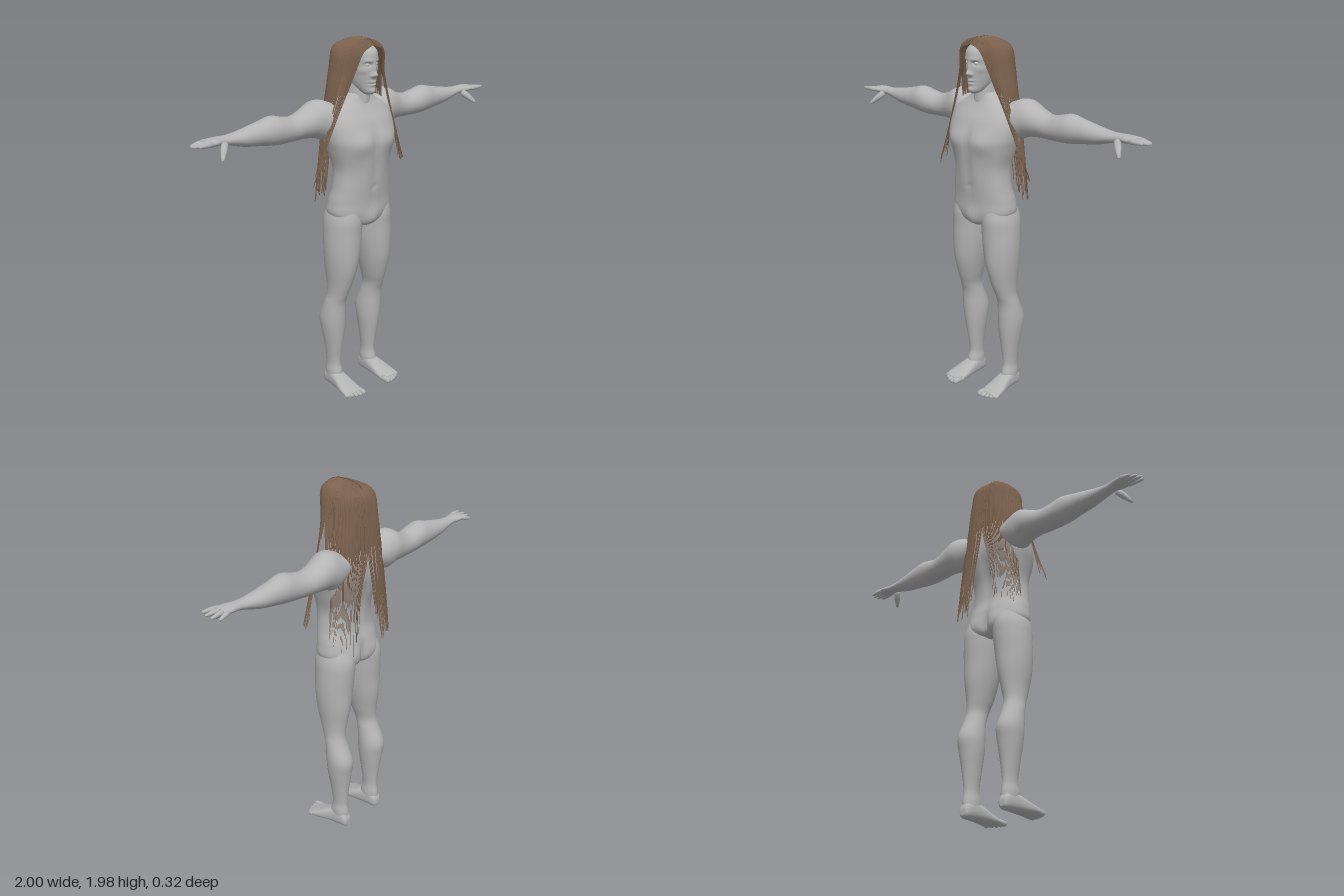
import * as THREE from 'three';

const skin = new THREE.MeshStandardMaterial({ color: 0xb4b4b4 });
skin.name = 'grey skin';
const eyeMat = new THREE.MeshStandardMaterial({ color: 0xc8c8c8 });
eyeMat.name = 'pale eye';
const hairMat = new THREE.MeshStandardMaterial({ color: 0x7d634f, side: THREE.DoubleSide });
hairMat.name = 'brown hair';

let seed = 7;
const rand = () => (seed = (seed * 16807) % 2147483647) / 2147483647;

const spline = (a, b, c, d, f) =>
  0.5 * (2 * b + (c - a) * f + (2 * a - 5 * b + 4 * c - d) * f * f + (3 * b - a - 3 * c + d) * f * f * f);

// Closed skin through cross-sections [t, uMin, uMax, vMin, vMax]; place maps (t, u, v) to x, y, z
function loft(rows, place, { n = 40, sub = 6, p = 2 } = {}) {
  const pos = [], idx = [], rings = (rows.length - 1) * sub + 1;
  const row = i => rows[Math.max(0, Math.min(rows.length - 1, i))];
  const bend = v => Math.sign(v) * Math.abs(v) ** (2 / p);
  for (let r = 0; r < rings; r++) {
    const i = Math.min(Math.floor(r / sub), rows.length - 2), f = r / sub - i;
    const [t, u0, u1, v0, v1] = row(i).map((_, k) => spline(row(i - 1)[k], row(i)[k], row(i + 1)[k], row(i + 2)[k], f));
    for (let j = 0; j < n; j++) {
      const a = (j / n) * Math.PI * 2;
      pos.push(...place(t, (u0 + u1) / 2 + bend(Math.cos(a)) * (u1 - u0) / 2, (v0 + v1) / 2 + bend(Math.sin(a)) * (v1 - v0) / 2));
      const b = r * n + j, c = r * n + (j + 1) % n;
      if (r < rings - 1) idx.push(b, b + n, c, c, b + n, c + n);
    }
  }
  // End caps
  [[0, rows[0]], [rings - 1, rows[rows.length - 1]]].forEach(([r, [t, u0, u1, v0, v1]]) => {
    const m = pos.length / 3;
    pos.push(...place(t, (u0 + u1) / 2, (v0 + v1) / 2));
    for (let j = 0; j < n; j++) {
      const b = r * n + j, c = r * n + (j + 1) % n;
      idx.push(m, ...(r ? [c, b] : [b, c]));
    }
  });
  // Turn faces outward, whichever way the sections ran
  let volume = 0;
  const at = i => new THREE.Vector3().fromArray(pos, i * 3);
  for (let i = 0; i < idx.length; i += 3) volume += at(idx[i]).dot(at(idx[i + 1]).cross(at(idx[i + 2])));
  if (volume < 0) idx.reverse();
  const g = new THREE.BufferGeometry();
  g.setAttribute('position', new THREE.Float32BufferAttribute(pos, 3));
  g.setIndex(idx);
  g.computeVertexNormals();
  return g;
}

// Soft swellings and hollows [x, y, z, rx, ry, rz, amount], mirrored in x
function sculpt(g, bumps) {
  const P = g.attributes.position, N = g.attributes.normal;
  for (let i = 0; i < P.count; i++) {
    let d = 0;
    for (const [x, y, z, rx, ry, rz, amount] of bumps) {
      d += amount * Math.exp(-(((Math.abs(P.getX(i)) - x) / rx) ** 2 + ((P.getY(i) - y) / ry) ** 2 + ((P.getZ(i) - z) / rz) ** 2));
    }
    P.setXYZ(i, P.getX(i) + N.getX(i) * d, P.getY(i) + N.getY(i) * d, P.getZ(i) + N.getZ(i) * d);
  }
  g.computeVertexNormals();
  return g;
}

function add(parent, name, geometry, material = skin) {
  const m = new THREE.Mesh(geometry, material);
  m.name = name;
  parent.add(m);
  return m;
}

// Tapered rounded finger or toe between two points
function digit(parent, name, a, b, r0, r1) {
  const A = new THREE.Vector3(...a), B = new THREE.Vector3(...b), len = A.distanceTo(B);
  const profile = [[0, 0], [r0, 0.004], [r0, len * 0.4], [r1, len * 0.85], [r1 * 0.7, len * 0.96], [0, len]];
  const m = add(parent, name, new THREE.LatheGeometry(profile.map(q => new THREE.Vector2(...q)), 12));
  m.position.copy(A);
  m.quaternion.setFromUnitVectors(new THREE.Vector3(0, 1, 0), B.sub(A).normalize());
}

// A panel of hair: guide curves from the parting to the tips, filled with tapering locks
function hairPanel(parent, name, side, guides, count) {
  const curves = guides.map(g => new THREE.CatmullRomCurve3(g.map(q => new THREE.Vector3(...q))));
  const surf = (a, t, lift) => {
    const v = new THREE.CatmullRomCurve3(curves.map(c => c.getPoint(t))).getPoint(Math.max(0, Math.min(1, a)));
    const out = new THREE.Vector3(v.x, v.y - Math.min(v.y, 1.86), v.z).normalize();
    v.addScaledVector(out, lift);
    return [v.x * side, v.y, v.z];
  };
  const pos = [], idx = [];
  const strip = (a, half, end, lift, ridge, cols, steps, taper) => {
    const base = pos.length / 3;
    for (let s = 0; s <= steps; s++) {
      const f = s / steps, w = half * (taper ? 1 - 0.92 * Math.max(0, (f - 0.5) / 0.5) : 1);
      for (let c = 0; c <= cols; c++) {
        const e = (c / cols) * 2 - 1;
        pos.push(...surf(a + e * w, f * end, lift + ridge * (1 - e * e)));
        const q = base + s * (cols + 1) + c;
        if (s < steps && c < cols) {
          const quad = [q, q + cols + 1, q + 1, q + 1, q + cols + 1, q + cols + 2];
          idx.push(...(side > 0 ? quad : quad.reverse()));
        }
      }
    }
  };
  strip(0.5, 0.5, 0.56, -0.003, 0, 20, 20, false);
  for (let i = 0; i < count; i++) {
    strip((i + 0.5) / count, 0.62 / count, 0.86 + 0.14 * rand(), 0.005 * rand(), 0.004, 2, 26, true);
  }
  const g = new THREE.BufferGeometry();
  g.setAttribute('position', new THREE.Float32BufferAttribute(pos, 3));
  g.setIndex(idx);
  g.computeVertexNormals();
  add(parent, name, g, hairMat);
}

export function createModel() {
  const model = new THREE.Group();
  model.name = 'figure';
  const upright = s => (t, u, v) => [u * s, t, v];

  // Torso, with chest, back and hip muscles
  const torso = [
    [0.975, 0.04, -0.06, 0.08], [1.0, 0.12, -0.1, 0.11], [1.05, 0.188, -0.11, 0.12], [1.12, 0.188, -0.105, 0.122],
    [1.2, 0.172, -0.085, 0.13], [1.3, 0.164, -0.088, 0.138], [1.4, 0.19, -0.115, 0.15], [1.47, 0.208, -0.132, 0.148],
    [1.55, 0.208, -0.135, 0.12], [1.61, 0.18, -0.128, 0.085], [1.65, 0.115, -0.105, 0.065], [1.69, 0.06, -0.08, 0.055],
  ].map(([y, x, b, f]) => [y, -x, x, b, f]);
  add(model, 'torso', sculpt(loft(torso, upright(1), { n: 72, sub: 7, p: 2.35 }), [
    [0.09, 1.44, 0.14, 0.07, 0.05, 0.06, 0.014], [0, 1.45, 0.15, 0.014, 0.08, 0.05, -0.008],
    [0, 1.25, 0.13, 0.012, 0.1, 0.05, -0.004], [0.05, 1.28, 0.14, 0.03, 0.1, 0.05, 0.004],
    [0, 1.2, 0.13, 0.012, 0.012, 0.03, -0.007], [0, 1.03, 0.12, 0.035, 0.04, 0.05, 0.012],
    [0.085, 1.03, -0.11, 0.06, 0.06, 0.06, 0.018], [0, 1.04, -0.11, 0.016, 0.07, 0.05, -0.02],
    [0, 1.35, -0.11, 0.025, 0.2, 0.06, -0.012], [0.1, 1.53, -0.13, 0.05, 0.06, 0.04, 0.008],
  ]));

  // Neck
  add(model, 'neck', loft([[1.6, -0.08, 0.08, -0.1, 0.07], [1.66, -0.062, 0.062, -0.085, 0.07], [1.72, -0.055, 0.055, -0.075, 0.068],
    [1.78, -0.052, 0.052, -0.07, 0.06]], upright(1)));

  // Head, with brow, eye sockets, nose, lips and chin
  const head = [
    [1.69, 0.018, 0.06, 0.105], [1.705, 0.034, 0.02, 0.118], [1.74, 0.052, -0.05, 0.12], [1.78, 0.064, -0.09, 0.123],
    [1.83, 0.072, -0.105, 0.126], [1.88, 0.075, -0.107, 0.129], [1.915, 0.066, -0.095, 0.12], [1.94, 0.042, -0.06, 0.085], [1.948, 0.01, -0.01, 0.03],
  ].map(([y, x, b, f]) => [y, -x, x, b, f]);
  add(model, 'head', sculpt(loft(head, upright(1), { n: 120, sub: 11 }), [
    [0, 1.795, 0.125, 0.012, 0.014, 0.05, 0.021], [0, 1.825, 0.125, 0.009, 0.025, 0.05, 0.01],
    [0.014, 1.79, 0.125, 0.007, 0.008, 0.04, 0.007], [0.03, 1.846, 0.12, 0.016, 0.011, 0.04, -0.011],
    [0.03, 1.866, 0.12, 0.022, 0.008, 0.04, 0.004], [0, 1.757, 0.12, 0.02, 0.006, 0.04, 0.006],
    [0, 1.749, 0.12, 0.022, 0.003, 0.04, -0.005], [0, 1.741, 0.12, 0.017, 0.006, 0.04, 0.006],
    [0, 1.71, 0.12, 0.018, 0.013, 0.04, 0.006], [0.05, 1.815, 0.09, 0.018, 0.016, 0.04, 0.004],
  ]));

  for (const s of [1, -1]) {
    const side = s > 0 ? 'left' : 'right';

    // Eye
    const eye = add(model, side + 'Eye', new THREE.SphereGeometry(0.012, 16, 12), eyeMat);
    eye.position.set(s * 0.03, 1.846, 0.101);

    // Leg
    add(model, side + 'Leg', loft([
      [1.12, 0.03, 0.165, -0.085, 0.095], [1.03, 0.008, 0.198, -0.118, 0.112], [0.95, 0.01, 0.206, -0.118, 0.11],
      [0.85, 0.02, 0.208, -0.11, 0.107], [0.75, 0.038, 0.201, -0.105, 0.098], [0.65, 0.062, 0.189, -0.09, 0.072],
      [0.58, 0.08, 0.186, -0.085, 0.046], [0.52, 0.076, 0.195, -0.102, 0.026], [0.43, 0.068, 0.203, -0.138, 0.02],
      [0.35, 0.072, 0.195, -0.13, 0.014], [0.25, 0.086, 0.178, -0.115, 0], [0.15, 0.097, 0.165, -0.105, -0.012],
      [0.09, 0.092, 0.17, -0.112, 0], [0.03, 0.095, 0.165, -0.112, 0],
    ], upright(s)));

    // Foot and toes
    add(model, side + 'Foot', loft([
      [-0.12, 0.115, 0.15, 0.015, 0.05], [-0.105, 0.1, 0.163, 0.002, 0.08], [-0.06, 0.092, 0.17, 0, 0.1], [0, 0.087, 0.18, 0, 0.085],
      [0.06, 0.082, 0.195, 0, 0.058], [0.11, 0.08, 0.2, 0, 0.038], [0.135, 0.085, 0.19, 0.005, 0.028],
    ], (t, u, v) => [u * s, v, t], { p: 2.5 }));
    for (let i = 0; i < 5; i++) {
      const x = s * (0.097 + i * 0.0235), r = i ? 0.0115 : 0.016;
      digit(model, side + 'Toe', [x, 0.02, 0.1], [x, r, 0.166 - i * i * 0.0022], r, r * 0.95);
    }

    // Arm and palm
    add(model, side + 'Arm', loft([
      [0.1, 1.51, 1.63, -0.12, 0.05], [0.16, 1.47, 1.65, -0.135, 0.05], [0.21, 1.46, 1.668, -0.143, 0.04], [0.26, 1.477, 1.667, -0.145, 0.028],
      [0.33, 1.485, 1.63, -0.138, 0.014], [0.4, 1.486, 1.612, -0.128, 0.014], [0.47, 1.487, 1.625, -0.122, 0.02],
      [0.53, 1.49, 1.638, -0.118, 0.02], [0.6, 1.5, 1.623, -0.112, 0.01], [0.7, 1.515, 1.603, -0.1, 0],
      [0.78, 1.537, 1.592, -0.086, -0.01], [0.83, 1.547, 1.592, -0.082, -0.014], [0.88, 1.552, 1.592, -0.09, 0], [0.915, 1.558, 1.588, -0.09, 0.002],
      [0.925, 1.563, 1.583, -0.085, -0.004],
    ], (t, u, v) => [t * s, u, v]));

    // Fingers and thumb
    [[0.972, -0.08, -0.094], [0.992, -0.056, -0.062], [1.0, -0.031, -0.03], [0.99, -0.007, 0.002]].forEach(([tip, z0, z1], i) =>
      digit(model, side + 'Finger', [s * 0.9, 1.573, z0], [s * tip, 1.557 + 0.006 * i, z1], 0.0125, 0.0085));
    digit(model, side + 'Thumb', [s * 0.832, 1.562, -0.015], [s * 0.89, 1.497, 0.046], 0.018, 0.01);

    // Hair parted in the middle: a front panel over the shoulder and a back panel
    hairPanel(model, side + 'FrontHair', s, [
      [[0.002, 1.945, 0.122], [0.062, 1.915, 0.118], [0.098, 1.8, 0.085], [0.145, 1.67, 0.06], [0.21, 1.52, 0.045], [0.34, 1.21, 0.025]],
      [[0.002, 1.96, 0.095], [0.078, 1.93, 0.085], [0.118, 1.8, 0.065], [0.162, 1.67, 0.05], [0.22, 1.52, 0.035], [0.32, 1.24, 0.01]],
      [[0.002, 1.967, 0.065], [0.086, 1.935, 0.05], [0.132, 1.8, 0.035], [0.18, 1.67, 0.03], [0.23, 1.5, 0.02], [0.3, 1.27, 0]],
    ], 18);
    hairPanel(model, side + 'BackHair', s, [
      [[0.002, 1.967, 0.065], [0.086, 1.935, 0.05], [0.13, 1.8, 0.035], [0.16, 1.65, 0.01], [0.172, 1.4, -0.03], [0.19, 1.17, -0.03]],
      [[0.002, 1.968, 0.01], [0.1, 1.92, -0.03], [0.128, 1.8, -0.05], [0.15, 1.65, -0.075], [0.17, 1.4, -0.1], [0.2, 1.1, -0.11]],
      [[0.002, 1.96, -0.045], [0.07, 1.92, -0.1], [0.085, 1.8, -0.12], [0.1, 1.6, -0.13], [0.12, 1.4, -0.135], [0.14, 1.08, -0.15]],
      [[0.002, 1.945, -0.08], [0.001, 1.9, -0.118], [0.001, 1.8, -0.128], [0.002, 1.6, -0.135], [0.045, 1.4, -0.13], [0.08, 1.12, -0.14]],
    ], 36);
  }
  return model;
}
